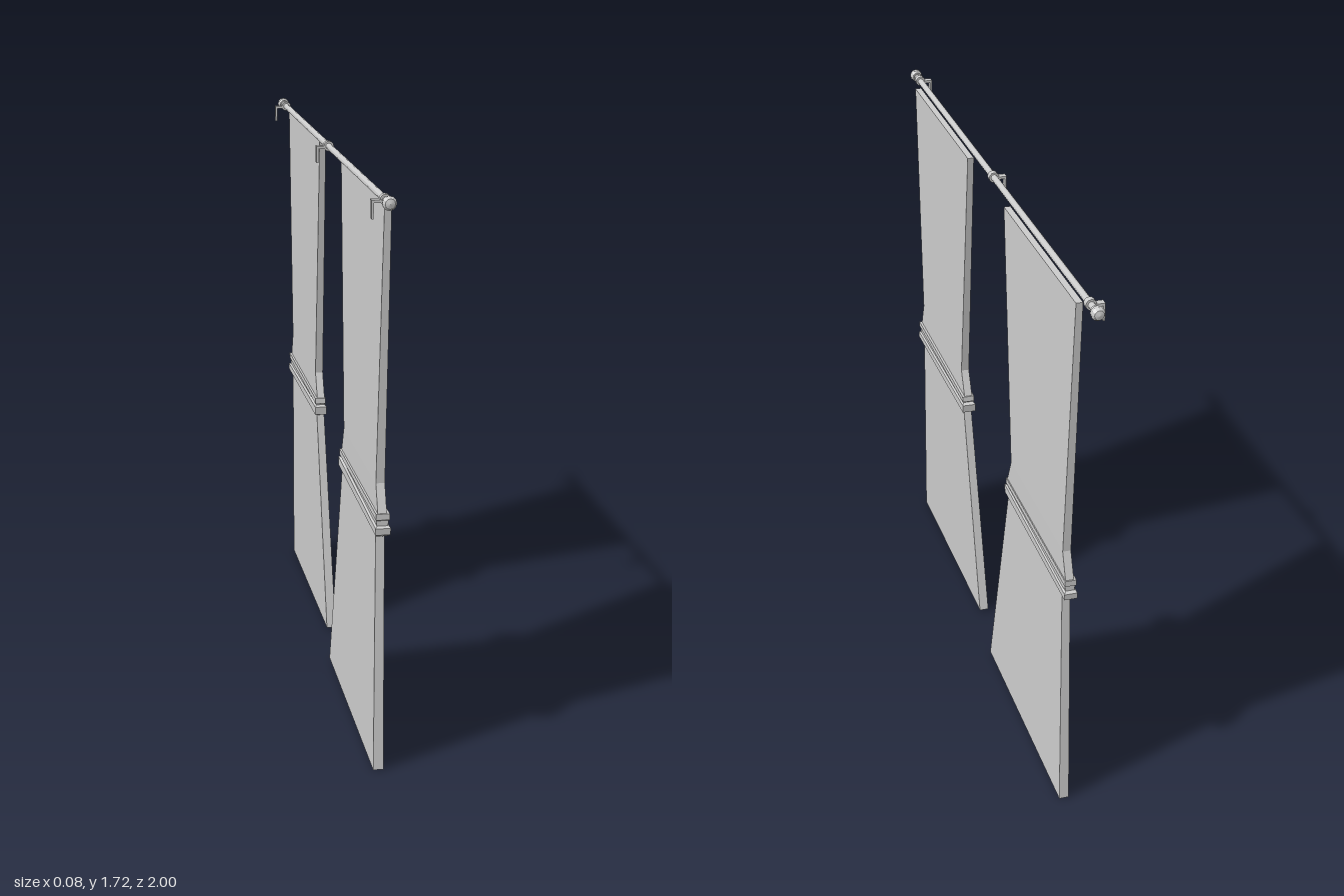
import * as THREE from 'three';

const material = new THREE.MeshStandardMaterial({ color: 0xcccccc, flatShading: true });

function add(parent, name, geometry, x = 0, y = 0, z = 0) {
  const mesh = new THREE.Mesh(geometry, material);
  mesh.name = name;
  mesh.position.set(x, y, z);
  parent.add(mesh);
  return mesh;
}

// Closed solid through rectangular sections, bottom to top.
// Each row: [y at outer edge, y at inner edge, outer z, inner z, x min, x max]
function loft(rows, place) {
  const pos = [], index = [];
  for (const [yo, yi, zo, zi, xa, xb] of rows) {
    const edges = [[place(zo), yo], [place(zi), yi]].sort((a, b) => b[0] - a[0]);
    const [[z1, y1], [z2, y2]] = edges;
    pos.push(xa, y1, z1, xb, y1, z1, xb, y2, z2, xa, y2, z2);
  }
  for (let i = 0; i < rows.length - 1; i++) {
    for (let j = 0; j < 4; j++) {
      const a = i * 4 + j, b = i * 4 + (j + 1) % 4;
      index.push(a, b, b + 4, a, b + 4, a + 4);
    }
  }
  const t = (rows.length - 1) * 4;
  index.push(0, 2, 1, 0, 3, 2, t, t + 1, t + 2, t, t + 2, t + 3);
  const g = new THREE.BufferGeometry();
  g.setAttribute('position', new THREE.Float32BufferAttribute(pos, 3));
  g.setIndex(index);
  const flat = g.toNonIndexed();
  flat.computeVertexNormals();
  return flat;
}

// Curtain panel gathered at the waist, with its tieback
function curtain(name, place, bottomX, waistX, tieX) {
  const group = new THREE.Group();
  group.name = name;
  const [wa, wb] = waistX;
  add(group, 'curtainPanel', loft([
    [0, 0.01, 0.905, 0.13, ...bottomX],
    [0.72, 0.73, 0.852, 0.297, wa, wb],
    [0.79, 0.79, 0.882, 0.287, wa, wb],
    [0.87, 0.87, 0.85, 0.325, wa, wb],
    [1.68, 1.68, 0.892, 0.21, 0, 0.02],
  ], place));

  // Tieback: wide lower fold and narrower upper fold with a groove between
  const [ta, tb] = tieX;
  add(group, 'tieback', loft([
    [0.715, 0.728, 0.865, 0.295, ta + 0.008, tb - 0.008],
    [0.728, 0.735, 0.89, 0.275, ta, tb],
    [0.748, 0.762, 0.892, 0.272, ta, tb],
    [0.752, 0.766, 0.88, 0.288, ta + 0.006, tb - 0.006],
    [0.768, 0.77, 0.88, 0.286, ta + 0.004, tb - 0.004],
    [0.772, 0.772, 0.887, 0.28, ta + 0.002, tb - 0.002],
    [0.79, 0.79, 0.887, 0.282, ta + 0.002, tb - 0.002],
  ], place));
  return group;
}

export function createModel() {
  const model = new THREE.Group();
  model.name = 'curtains';
  const rodX = -0.005, rodY = 1.696;

  // Rod along z
  add(model, 'rod', new THREE.CylinderGeometry(0.01, 0.01, 1.94, 12).rotateX(Math.PI / 2), rodX, rodY, 0);

  // Turned finials at both ends
  const profile = [[0, -0.022], [0.014, -0.022], [0.014, -0.015], [0.019, -0.008],
    [0.02, 0.004], [0.014, 0.014], [0, 0.018]].map(([r, h]) => new THREE.Vector2(r, h));
  for (const s of [1, -1]) {
    const finial = add(model, 'finial', new THREE.LatheGeometry(profile, 12), rodX, rodY, s * 0.982);
    finial.rotation.x = s * Math.PI / 2;
  }

  // Brackets: collar on the rod, short arm and wall plate
  for (const z of [0.925, 0.005, -0.92]) {
    const bracket = new THREE.Group();
    bracket.name = 'bracket';
    bracket.position.z = z;
    add(bracket, 'collar', new THREE.CylinderGeometry(0.016, 0.016, 0.02, 12).rotateX(Math.PI / 2), rodX, rodY, 0);
    add(bracket, 'arm', new THREE.BoxGeometry(0.032, 0.008, 0.022), -0.028, 1.693, 0);
    add(bracket, 'wallPlate', new THREE.BoxGeometry(0.006, 0.052, 0.022), -0.041, 1.671, 0);
    model.add(bracket);
  }

  // Two panels, mirrored and tilted slightly opposite ways
  model.add(curtain('frontCurtain', z => z, [-0.022, 0.008], [-0.01, 0.016], [-0.018, 0.026]));
  model.add(curtain('backCurtain', z => 0.015 - z, [0.01, 0.04], [0.003, 0.028], [-0.006, 0.033]));
  return model;
}
